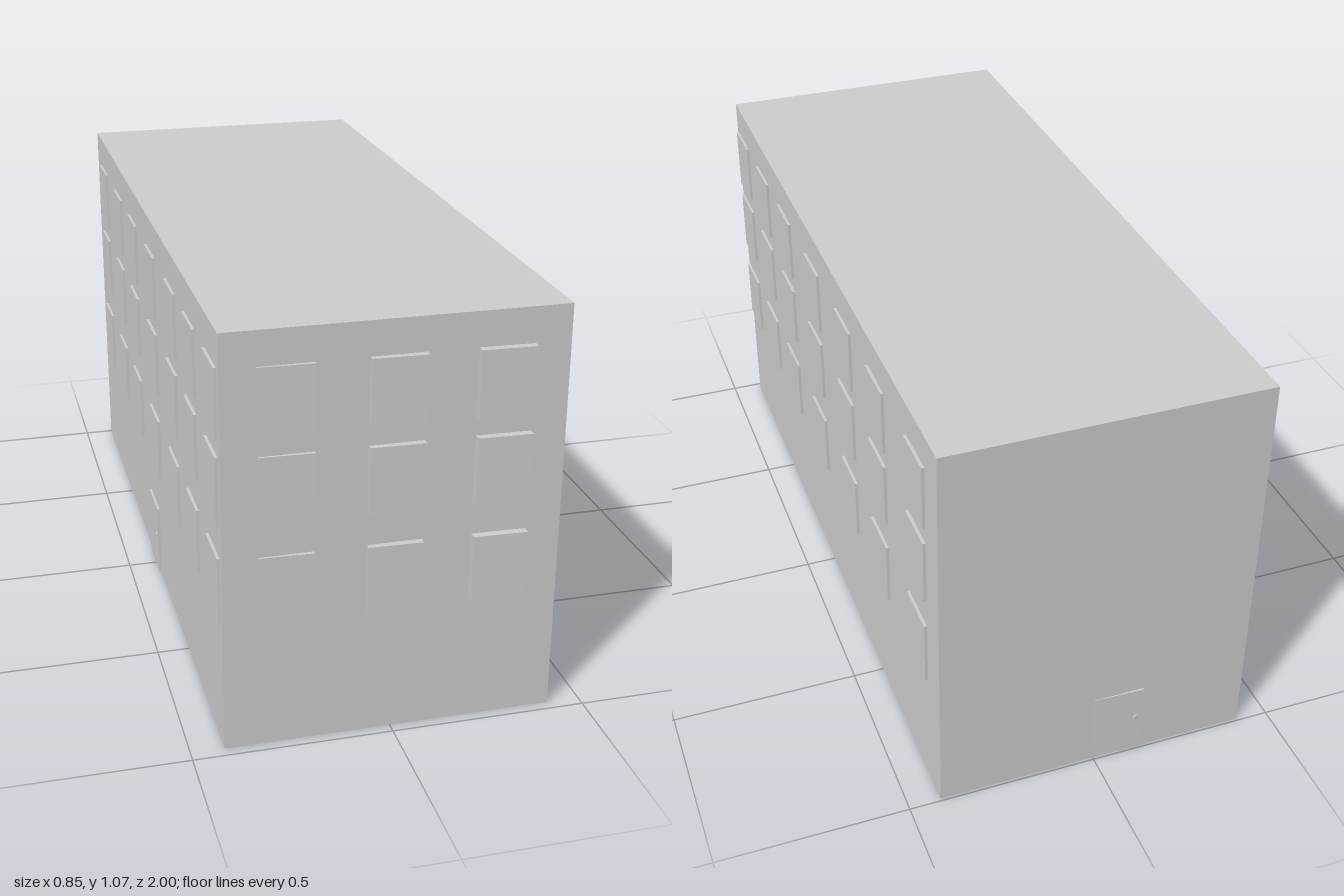
import * as THREE from 'three';

const plaster = new THREE.MeshStandardMaterial({ color: 0xcccccc });
plaster.name = 'plasterGrey';

const HEIGHT = 1.067;
const HALF_WIDTH = 0.416;
const BACK = -0.993;
const FRONT = 0.972;
const TILT = -0.035; // slight turn of the panels on the end walls

export function createModel() {
  const model = new THREE.Group();
  model.name = 'apartmentBlock';

  function box(name, size, position, turn = 0) {
    const mesh = new THREE.Mesh(new THREE.BoxGeometry(...size), plaster);
    mesh.name = name;
    mesh.position.set(...position);
    mesh.rotation.y = turn;
    model.add(mesh);
    return mesh;
  }

  // Main block
  box('building', [2 * HALF_WIDTH, HEIGHT, FRONT - BACK], [0, HEIGHT / 2, (FRONT + BACK) / 2]);

  const rows = [0.42, 0.675, 0.893];
  const columns = [0.888, 0.632, 0.37, 0.064, -0.244, -0.528, -0.838];
  const paneWidth = 0.135;
  const paneHeight = 0.175;

  for (const y of rows) {
    // Long side walls, mirrored; panes set partly into the wall
    for (const z of columns) {
      for (const side of [-1, 1]) {
        box('sideWindow', [0.02, paneHeight, paneWidth], [side * 0.4135, y, z]);
      }
    }
    // Front wall, standing out further towards one side
    for (const x of [-0.262, 0, 0.257]) {
      const outer = 0.9885 + 0.035 * x;
      box('frontWindow', [paneWidth, paneHeight, 0.02], [x, y, outer - 0.01], TILT);
    }
  }

  // Side door and its handle
  box('sideDoor', [0.02, 0.203, 0.14], [-0.4125, 0.1045, -0.003]);
  const knob = new THREE.SphereGeometry(0.007, 12, 8);
  const sideKnob = new THREE.Mesh(knob, plaster);
  sideKnob.name = 'sideDoorKnob';
  sideKnob.position.set(-0.422, 0.115, 0.04);
  sideKnob.scale.x = 0.5;
  model.add(sideKnob);

  // Back door and its handle
  box('backDoor', [0.135, 0.203, 0.02], [-0.063, 0.1045, -0.9865], TILT);
  const backKnob = new THREE.Mesh(knob, plaster);
  backKnob.name = 'backDoorKnob';
  backKnob.position.set(-0.112, 0.115, -0.998);
  backKnob.scale.z = 0.4;
  model.add(backKnob);

  return model;
}
